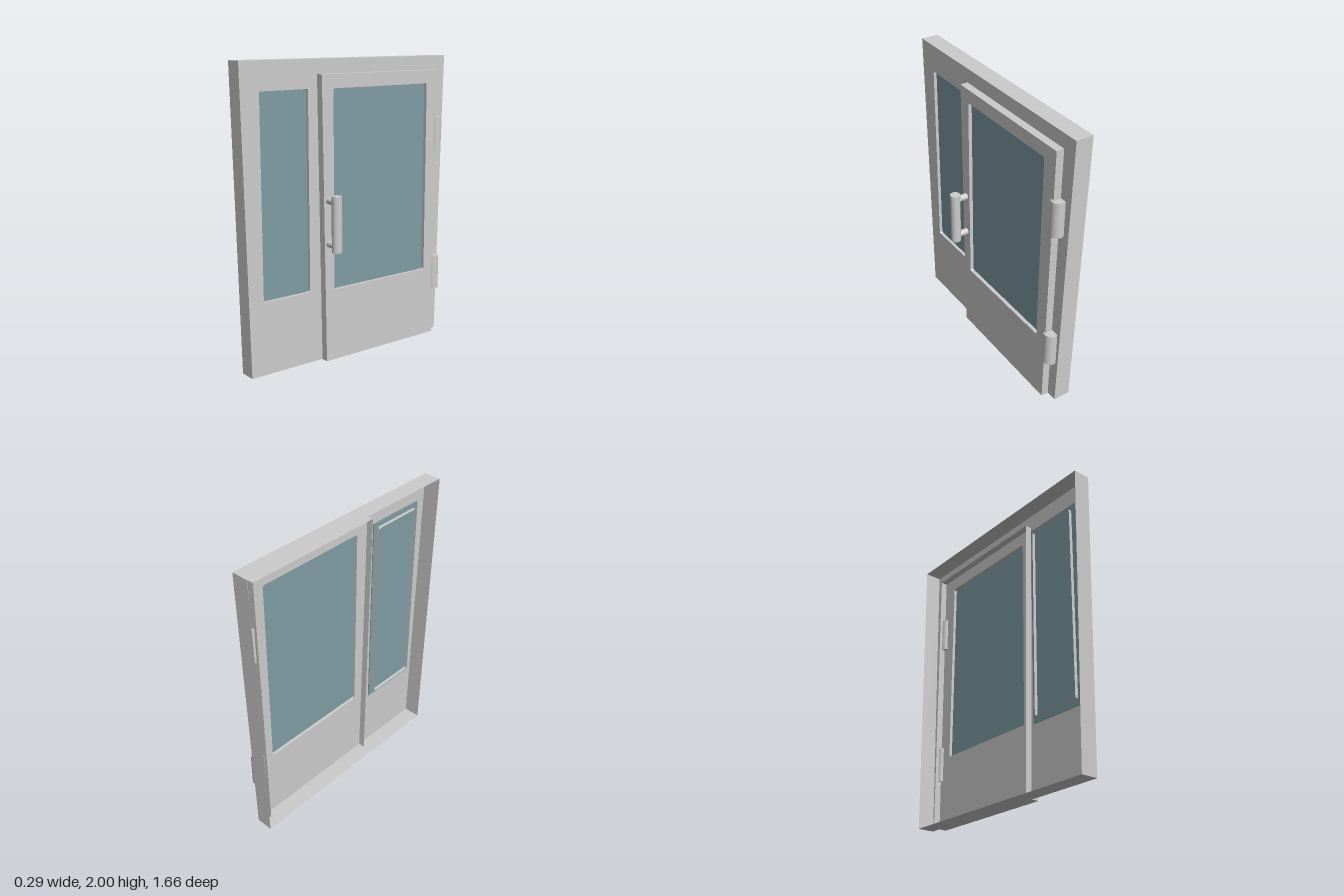
import * as THREE from 'three';

const grey = new THREE.MeshStandardMaterial({ color: 0xcccccc, side: THREE.DoubleSide });
grey.name = 'light grey';
const glass = new THREE.MeshStandardMaterial({ color: 0x7f9da3, side: THREE.DoubleSide });
glass.name = 'blue green glass';

// Outlines are drawn as [z, y] points; the drawing plane is turned so it faces +x.
const rectangle = (z0, z1, y0, y1) => [[z1, y0], [z0, y0], [z0, y1], [z1, y1]];
function rounded(z0, z1, y0, y1, r = 0.008) {
  return [[z1 - r, y0], [z0 + r, y0], [z0, y0 + r], [z0, y1 - r],
    [z0 + r, y1], [z1 - r, y1], [z1, y1 - r], [z1, y0 + r]];
}
const vectors = (outline) => outline.map(([z, y]) => new THREE.Vector2(-z, y));

// Outer frame, door leaf and window openings
const FRAME = [[0.79, 0], [-0.785, 0], [-0.83, 2], [0.83, 2]];
const DOOR = [[0.24, 0], [-0.71, 0], [-0.73, 1.905], [0.265, 1.905]];
const DOOR_WINDOW = rounded(-0.622, 0.175, 0.49, 1.815);
const SIDE_WINDOW = rounded(0.335, 0.692, 0.49, 1.815);

export function createModel() {
  const model = new THREE.Group();
  model.name = 'doorWithSidelight';

  function add(name, geometry, material = grey) {
    const mesh = new THREE.Mesh(geometry, material);
    mesh.name = name;
    model.add(mesh);
    return mesh;
  }

  // Flat plate or slab with holes, from x0 to x1
  function slab(name, outline, holes, x0, x1, material) {
    const shape = new THREE.Shape(vectors(outline));
    for (const hole of holes) shape.holes.push(new THREE.Path(vectors(hole)));
    const geometry = x1 > x0
      ? new THREE.ExtrudeGeometry(shape, { depth: x1 - x0, bevelEnabled: false })
      : new THREE.ShapeGeometry(shape);
    geometry.rotateY(Math.PI / 2).translate(x0, 0, 0);
    return add(name, geometry, material);
  }

  // Open sleeve of thin walls following an outline from x0 to x1
  function sleeve(name, outline, x0, x1) {
    const positions = [];
    outline.forEach(([z, y], i) => {
      const [zn, yn] = outline[(i + 1) % outline.length];
      positions.push(x0, y, z, x0, yn, zn, x1, yn, zn);
      positions.push(x0, y, z, x1, yn, zn, x1, y, z);
    });
    const geometry = new THREE.BufferGeometry();
    geometry.setAttribute('position', new THREE.Float32BufferAttribute(positions, 3));
    geometry.computeVertexNormals();
    return add(name, geometry);
  }

  // Tapered frame, open at the back, with a thin face panel
  sleeve('frameSides', FRAME, -0.147, -0.03);

  // The doorway reaches the floor, so the panel is outlined around it
  const [d0, d1, d2, d3] = DOOR;
  slab('framePanel', [FRAME[0], d0, d3, d2, d1, FRAME[1], FRAME[2], FRAME[3]],
    [SIDE_WINDOW], -0.03, -0.03);
  sleeve('doorwayLining', DOOR, -0.075, -0.03);

  // Sidelight: window lining and an oversized pane behind the panel
  sleeve('sidelightLining', SIDE_WINDOW, -0.08, -0.03);
  slab('sidelightGlass', rectangle(0.297, 0.73, 0.455, 1.85), [], -0.058, -0.052, glass);

  // Door leaf with its pane set halfway through
  slab('doorLeaf', DOOR, [DOOR_WINDOW], -0.03, 0.022);
  slab('doorGlass', DOOR_WINDOW, [], -0.009, -0.003, glass);

  // Barrel hinges
  for (const y of [0.45, 1.46]) {
    add('hinge', new THREE.CylinderGeometry(0.046, 0.046, 0.24, 32))
      .position.set(-0.009, y, -0.732);
  }

  // Pull handle on two posts
  add('handleGrip', new THREE.CylinderGeometry(0.034, 0.034, 0.37, 32))
    .position.set(0.109, 0.955, 0.217);
  for (const y of [0.81, 1.098]) {
    const post = add('handlePost', new THREE.CylinderGeometry(0.023, 0.023, 0.09, 24));
    post.rotation.z = Math.PI / 2;
    post.position.set(0.06, y, 0.217);
  }

  return model;
}
